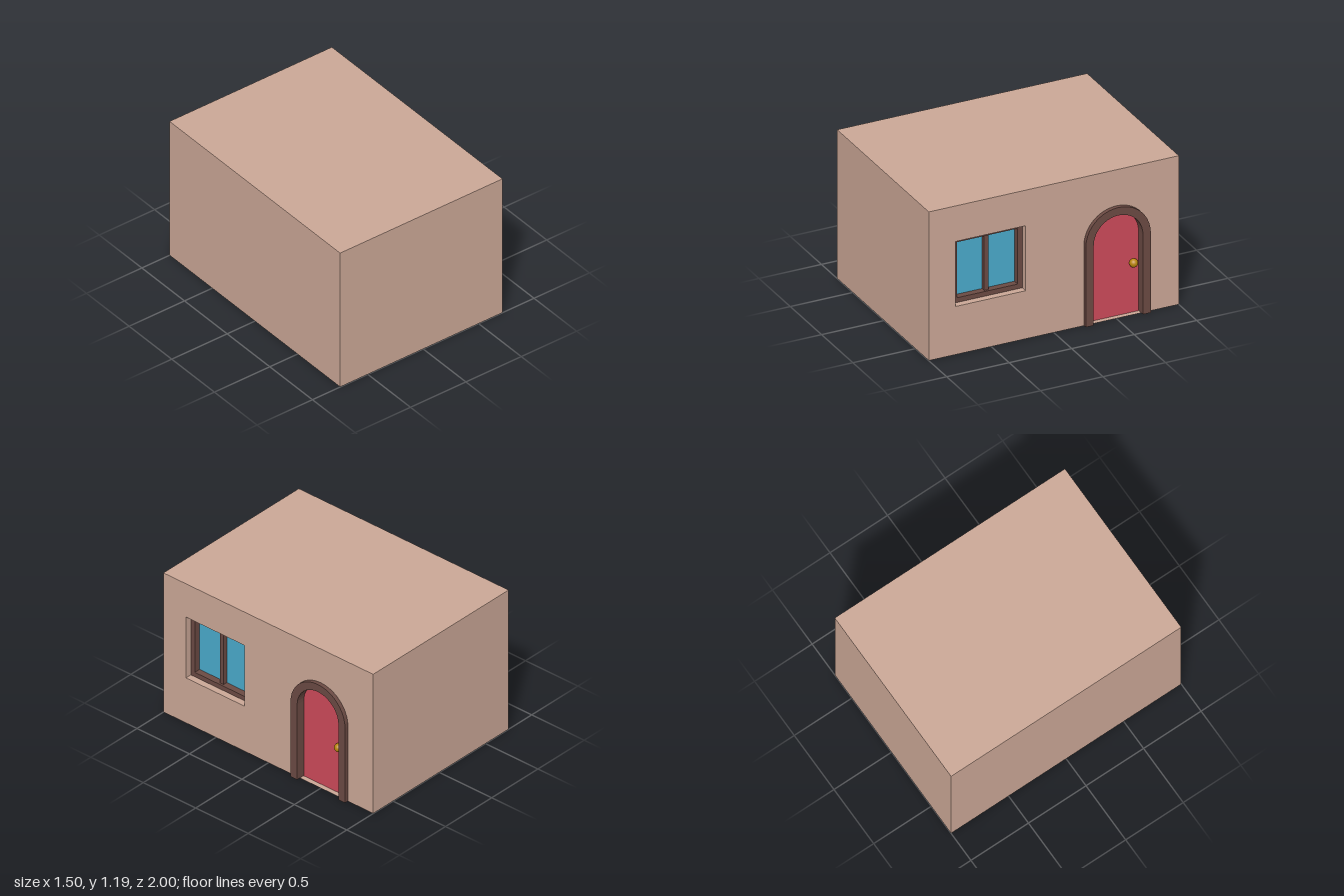
import * as THREE from 'three';

const paint = (color) => new THREE.MeshStandardMaterial({ color, side: THREE.DoubleSide });
const WALL = paint(0xcba796), WOOD = paint(0x6b4a43), RED = paint(0xcc4a5a);
const GLASS = paint(0x4aaacb), BRASS = paint(0xb8860b);

const FRONT = 0.715; // plane of the wall that holds the door and window
const HEIGHT = 1.19;
const SPRING = 0.64; // height where the door arch starts
const DOOR_U = 0.5; // shapes are drawn in (u, y), with u = -z
const WIN = { u: -0.505, y: 0.645, w: 0.56, h: 0.52 };

function mesh(name, geometry, material) {
  const m = new THREE.Mesh(geometry, material);
  m.name = name;
  return m;
}

function rect(Type, u, y, w, h) {
  const p = new Type();
  p.moveTo(u - w / 2, y - h / 2);
  p.lineTo(u + w / 2, y - h / 2);
  p.lineTo(u + w / 2, y + h / 2);
  p.lineTo(u - w / 2, y + h / 2);
  p.closePath();
  return p;
}

// traces an arch from its right foot over the top to its left foot
function traceArch(p, r, start = false) {
  if (start) p.moveTo(DOOR_U + r, 0);
  else p.lineTo(DOOR_U + r, 0);
  p.lineTo(DOOR_U + r, SPRING);
  p.absarc(DOOR_U, SPRING, r, 0, Math.PI, false);
  p.lineTo(DOOR_U - r, 0);
}

// extrudes a (u, y) shape between two x planes
function slab(shape, x0, x1) {
  const g = new THREE.ExtrudeGeometry(shape, { depth: x1 - x0, bevelEnabled: false, curveSegments: 10 });
  return g.rotateY(Math.PI / 2).translate(x0, 0, 0);
}

// box with its first `count` faces left off (order: +x, -x, +y, -y, +z, -z)
function openBox(w, h, d, count) {
  const g = new THREE.BoxGeometry(w, h, d);
  g.setIndex(Array.from(g.index.array).slice(count * 6));
  g.clearGroups();
  return g;
}

function createWalls() {
  const group = new THREE.Group();
  group.name = 'walls';
  const w = FRONT + 0.75;
  group.add(mesh('shell', openBox(w, HEIGHT, 2, 1).translate(FRONT - w / 2, HEIGHT / 2, 0), WALL));

  // facade with an arched doorway and a window opening
  const s = new THREE.Shape();
  s.moveTo(1, HEIGHT);
  s.lineTo(-1, HEIGHT);
  s.lineTo(-1, 0);
  const arch = new THREE.Path();
  traceArch(arch, 0.23, true);
  arch.getPoints(10).reverse().forEach((p) => s.lineTo(p.x, p.y));
  s.lineTo(1, 0);
  s.closePath();
  s.holes.push(rect(THREE.Path, WIN.u, WIN.y, WIN.w, WIN.h));
  const face = new THREE.ShapeGeometry(s).rotateY(Math.PI / 2).translate(FRONT, 0, 0);
  group.add(mesh('facade', face, WALL));

  const reveal = openBox(0.055, WIN.h, WIN.w, 2).translate(FRONT - 0.0275, WIN.y, -WIN.u);
  group.add(mesh('windowReveal', reveal, WALL));
  return group;
}

function createWindow() {
  const group = new THREE.Group();
  group.name = 'window';
  const frame = rect(THREE.Shape, WIN.u, WIN.y, WIN.w, WIN.h);
  frame.holes.push(rect(THREE.Path, WIN.u, WIN.y, WIN.w - 0.075, WIN.h - 0.075));
  group.add(mesh('windowFrame', slab(frame, 0.6, 0.662), WOOD));
  const mullion = rect(THREE.Shape, WIN.u, WIN.y, 0.034, WIN.h - 0.075);
  group.add(mesh('mullion', slab(mullion, 0.6, 0.645), WOOD));
  const pane = rect(THREE.Shape, WIN.u, WIN.y, WIN.w - 0.04, WIN.h - 0.04);
  group.add(mesh('glass', slab(pane, 0.602, 0.61), GLASS));
  return group;
}

function createDoor() {
  const group = new THREE.Group();
  group.name = 'door';

  // arched surround: up the outside, back down the inside
  const surround = new THREE.Shape();
  traceArch(surround, 0.26, true);
  const inner = new THREE.Path();
  traceArch(inner, 0.197, true);
  inner.getPoints(10).reverse().forEach((p) => surround.lineTo(p.x, p.y));
  surround.closePath();
  group.add(mesh('doorFrame', slab(surround, 0.66, 0.747).translate(0, 0.002, 0), WOOD));

  const leaf = new THREE.Shape();
  traceArch(leaf, 0.21, true);
  leaf.closePath();
  group.add(mesh('doorLeaf', slab(leaf, 0.645, 0.675).translate(0, -0.001, 0), RED));

  const knob = new THREE.SphereGeometry(0.033, 20, 14).translate(0.692, 0.4, -0.65);
  group.add(mesh('doorKnob', knob, BRASS));
  return group;
}

export function createModel() {
  const model = new THREE.Group();
  model.name = 'house';
  model.add(createWalls(), createWindow(), createDoor());
  return model;
}
